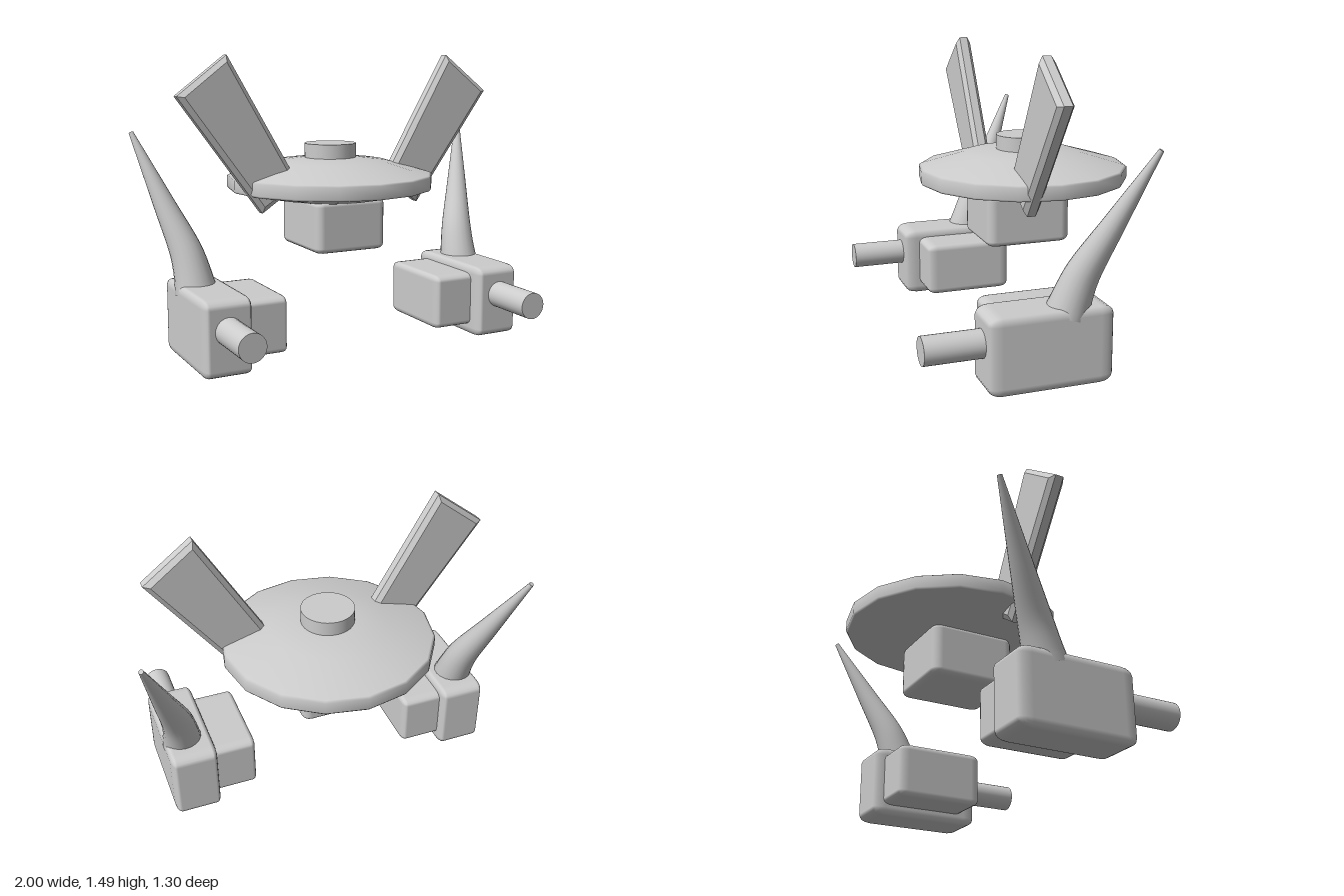
import * as THREE from 'three';
import { RoundedBoxGeometry } from 'three/addons/geometries/RoundedBoxGeometry.js';

const hull = new THREE.MeshStandardMaterial({ color: 0xcccccc });
hull.name = 'hull grey';

function part(name, geometry, parent) {
  const mesh = new THREE.Mesh(geometry, hull);
  mesh.name = name;
  parent.add(mesh);
  return mesh;
}

// Bevelled cube stretched to fill the given limits, so bevels stretch with it
function bevelledBox([x0, x1], [y0, y1], [z0, z1]) {
  const g = new RoundedBoxGeometry(1, 1, 1, 2, 0.11);
  g.scale(x1 - x0, y1 - y0, z1 - z0);
  g.translate((x0 + x1) / 2, (y0 + y1) / 2, (z0 + z1) / 2);
  return g;
}

// Tapered tube along a gently bent path, closed at the tip
function hornGeometry() {
  const path = new THREE.CatmullRomCurve3([
    [0.78, 0.33, -0.035], [0.787, 0.41, -0.06], [0.805, 0.52, -0.1],
    [0.877, 0.75, -0.21], [0.988, 1.1, -0.378]
  ].map(p => new THREE.Vector3(...p)));
  const radii = [[0, 0.105], [0.1, 0.093], [0.24, 0.081], [1, 0.012]];
  const radiusAt = t => {
    const i = Math.max(1, radii.findIndex(r => r[0] >= t));
    const [t0, r0] = radii[i - 1], [t1, r1] = radii[i];
    return THREE.MathUtils.mapLinear(t, t0, t1, r0, r1);
  };
  const rings = 24, sides = 20;
  const g = new THREE.TubeGeometry(path, rings, 1, sides, false);
  const pos = g.attributes.position, normal = g.attributes.normal;
  const v = new THREE.Vector3();
  for (let i = 0; i <= rings; i++) {
    const t = i / rings;
    const centre = path.getPointAt(t);
    for (let j = 0; j <= sides; j++) {
      const k = i * (sides + 1) + j;
      v.fromBufferAttribute(normal, k).multiplyScalar(radiusAt(t)).add(centre);
      pos.setXYZ(k, v.x, v.y, v.z);
    }
  }
  // Flat disc closing the tip
  const cap = new THREE.CircleGeometry(0.012, sides);
  cap.applyQuaternion(new THREE.Quaternion().setFromUnitVectors(
    new THREE.Vector3(0, 0, 1), path.getTangentAt(1)));
  cap.translate(...path.getPointAt(1).toArray());
  return [g, cap];
}

// Flat slanted fin with bevelled front and back rims
function finGeometry() {
  const shape = new THREE.Shape([[0.88, 1.293], [0.626, 1.487], [0.25, 0.84], [0.45, 0.705]]
    .map(p => new THREE.Vector2(...p)));
  const g = new THREE.ExtrudeGeometry(shape, {
    depth: 0.043, bevelEnabled: true, bevelThickness: 0.02,
    bevelSize: 0.025, bevelOffset: -0.025, bevelSegments: 1
  });
  g.translate(0, 0, -0.008);
  return g;
}

export function createModel() {
  const model = new THREE.Group();
  model.name = 'model';

  // Saucer body, sixteen sides
  const profile = [[0, 0.743], [0.28, 0.743], [0.535, 0.793], [0.543, 0.803],
    [0.543, 0.862], [0.53, 0.87], [0.3, 0.936], [0.14, 0.955], [0, 0.955]]
    .map(p => new THREE.Vector2(...p));
  part('saucer', new THREE.LatheGeometry(profile, 16), model).position.z = -0.108;

  // Turret on top and block underneath
  part('turret', new THREE.CylinderGeometry(0.136, 0.136, 0.1, 32), model)
    .position.set(0, 0.979, -0.108);
  part('lowerBlock', bevelledBox([-0.2, 0.2], [0.485, 0.757], [-0.3, 0.145]), model);

  // Left and right sets, mirrored
  for (const [name, sign] of [['left', 1], ['right', -1]]) {
    const side = new THREE.Group();
    side.name = name + 'Side';
    side.scale.x = sign;
    model.add(side);

    part('fin', finGeometry(), side);
    part('outerPod', bevelledBox([0.638, 0.88], [0, 0.375], [-0.235, 0.37]), side);
    part('innerPod', bevelledBox([0.425, 0.66], [0.053, 0.337], [-0.185, 0.29]), side);

    const barrel = part('barrel', new THREE.CylinderGeometry(0.068, 0.068, 0.35, 32), side);
    barrel.rotation.x = Math.PI / 2;
    barrel.position.set(0.763, 0.228, 0.477);

    const [horn, tip] = hornGeometry();
    part('horn', horn, side);
    part('hornTip', tip, side);
  }
  return model;
}
